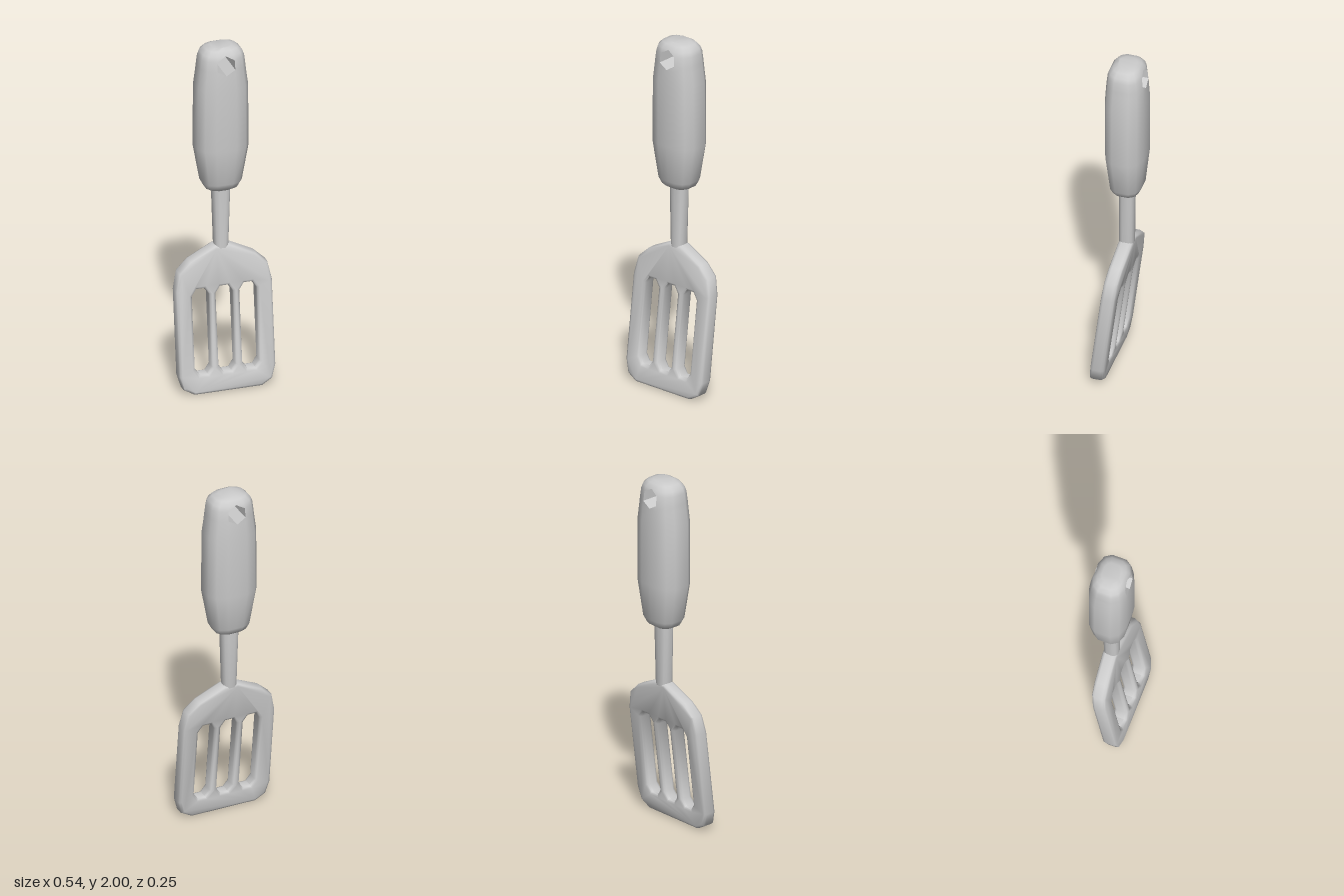
import * as THREE from 'three';
import { toCreasedNormals } from 'three/addons/utils/BufferGeometryUtils.js';

const material = new THREE.MeshStandardMaterial({ color: 0xcccccc });
const CENTRE_Z = -0.017;

// Unit cross-section (x, z) of the rounded handle; the point behind k (0..2) is 9 - k
const SECTION = [
  [-0.4, 1], [0, 1], [0.4, 1], [0.8, 0.8], [1, 0.42], [1, -0.42], [0.8, -0.8],
  [0.4, -1], [0, -1], [-0.4, -1], [-0.8, -0.8], [-1, -0.42], [-1, 0.42], [-0.8, 0.8],
];
const N = SECTION.length;

// Loft through rings [y, halfWidth, halfDepth, z]; holeRow is the ring at the hole's lower tip
function loft(rings, holeRow = -9) {
  const pos = [], index = [];
  for (const [y, a, b, z = CENTRE_Z] of rings)
    for (const [u, v] of SECTION) pos.push(u * a, y, z + v * b);
  const at = (row, i) => row * N + (i % N);
  const removed = (row, i) => (row === holeRow + 1 || row === holeRow + 2) && (i === 1 || i === 8);
  const last = rings.length - 1;
  for (let r = 0; r < last; r++)
    for (let i = 0; i < N; i++) {
      const keep = [[r, i], [r, i + 1], [r + 1, i + 1], [r + 1, i]].filter(([row, k]) => !removed(row, k));
      for (let k = 2; k < keep.length; k++)
        index.push(at(...keep[0]), at(...keep[k - 1]), at(...keep[k]));
    }
  for (let i = 1; i < N - 1; i++) {
    index.push(at(last, 0), at(last, i), at(last, i + 1));
    index.push(at(0, 0), at(0, i + 1), at(0, i));
  }
  // Walls of the six-sided through hole
  if (holeRow >= 0) {
    const loop = [[0, 1], [1, 2], [2, 2], [3, 1], [2, 0], [1, 0]];
    loop.forEach(([r0, c0], k) => {
      const [r1, c1] = loop[(k + 1) % loop.length];
      const f0 = at(holeRow + r0, c0), f1 = at(holeRow + r1, c1);
      const g0 = at(holeRow + r0, 9 - c0), g1 = at(holeRow + r1, 9 - c1);
      index.push(f0, f1, g1, f0, g1, g0);
    });
  }
  const geo = new THREE.BufferGeometry();
  geo.setAttribute('position', new THREE.Float32BufferAttribute(pos, 3));
  geo.setIndex(index);
  return toCreasedNormals(geo, 0.95);
}

// Slotted blade, extruded and then leaned forward
function bladeGeometry() {
  const half = [[0.19, 0], [0.25, 0.035], [0.272, 0.11], [0.272, 0.59], [0.25, 0.69], [0.185, 0.75], [0.04, 0.82]];
  const mirrored = half.map(([x, y]) => [-x, y]).reverse();
  const shape = new THREE.Shape([...half, ...mirrored].map(([x, y]) => new THREE.Vector2(x, y)));
  for (const cx of [-0.134, 0, 0.134]) {
    const w = 0.047, t = 0.022, lo = 0.11, hi = 0.59, c = 0.035;
    const slot = [[-t, lo], [-w, lo + c], [-w, hi - c], [-t, hi], [t, hi], [w, hi - c], [w, lo + c], [t, lo]];
    shape.holes.push(new THREE.Path(slot.map(([x, y]) => new THREE.Vector2(cx + x, y))));
  }
  const bevel = 0.016;
  const geo = new THREE.ExtrudeGeometry(shape, {
    depth: 0.044, bevelEnabled: true, bevelThickness: 0.018, bevelSize: bevel,
    bevelOffset: -bevel, bevelSegments: 2,
  });
  geo.translate(0, 0, -0.022);
  const p = geo.attributes.position;
  for (let i = 0; i < p.count; i++) p.setZ(i, p.getZ(i) + 0.086 - 0.125 * p.getY(i));
  return toCreasedNormals(geo, 0.95);
}

export function createModel() {
  const group = new THREE.Group();
  const add = (name, geometry) => {
    const mesh = new THREE.Mesh(geometry, material);
    mesh.name = name;
    group.add(mesh);
  };

  add('blade', bladeGeometry());

  // Shaft: its foot follows the lean of the blade
  add('shaft', loft([
    [0.76, 0.034, 0.036, -0.009],
    [0.81, 0.038, 0.04, -0.015],
    [1.18, 0.05, 0.041],
  ]));

  // Handle grip with a hanging hole near the top
  add('handle', loft([
    [1.15, 0.06, 0.05],
    [1.165, 0.09, 0.072],
    [1.2, 0.108, 0.088],
    [1.41, 0.144, 0.108],
    [1.77, 0.14, 0.109],
    [1.855, 0.129, 0.104],
    [1.885, 0.126, 0.102],
    [1.94, 0.12, 0.096],
    [1.967, 0.111, 0.088],
    [1.99, 0.088, 0.07],
    [2.0, 0.055, 0.048],
  ], 5));

  return group;
}
